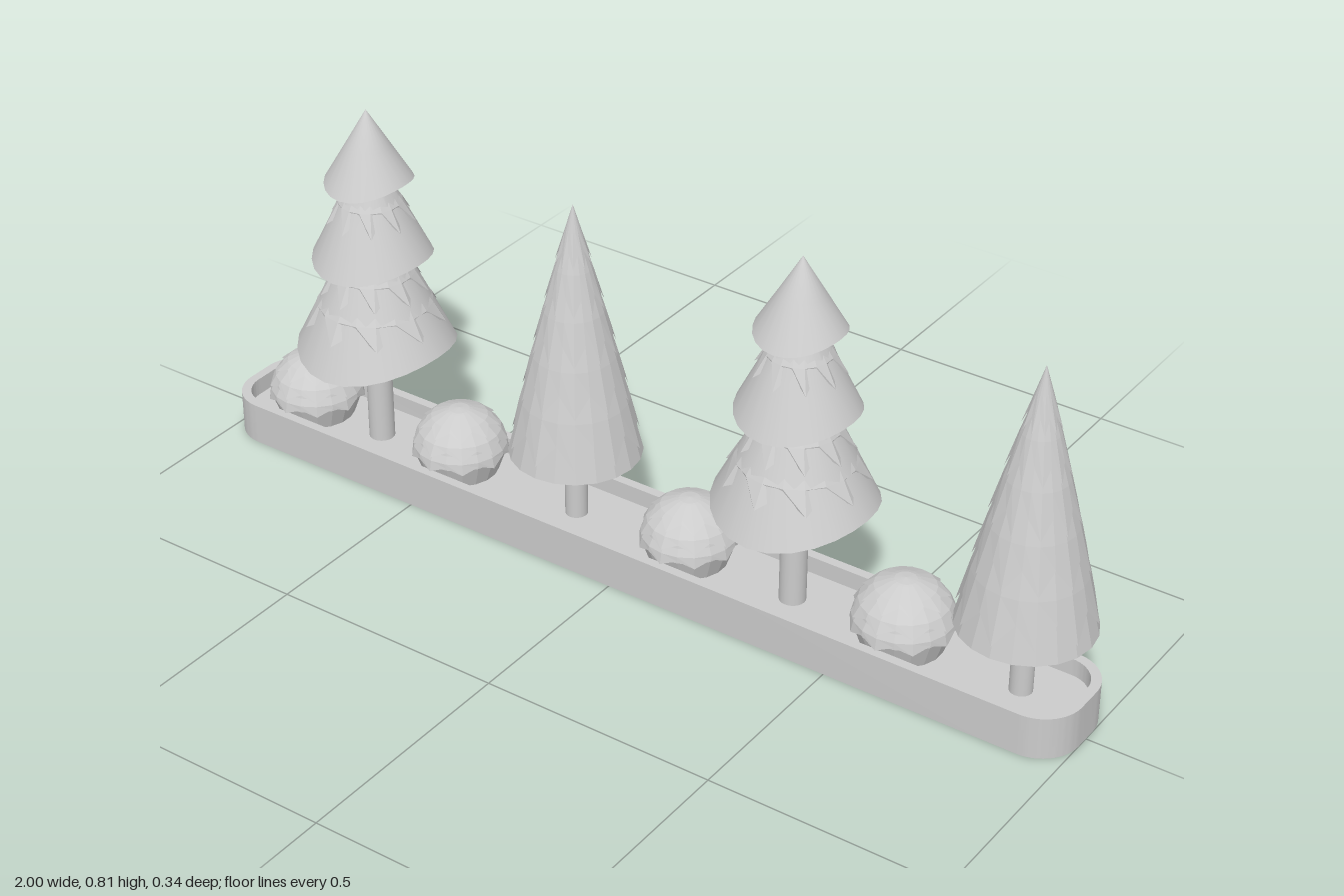
import * as THREE from 'three';
import { toCreasedNormals } from 'three/addons/utils/BufferGeometryUtils.js';

const smooth = new THREE.MeshStandardMaterial({ color: 0xcccccc, side: THREE.DoubleSide });
const faceted = new THREE.MeshStandardMaterial({ color: 0xcccccc, side: THREE.DoubleSide, flatShading: true });

function add(parent, name, geometry, material = smooth) {
  const mesh = new THREE.Mesh(geometry, material);
  mesh.name = name;
  parent.add(mesh);
  return mesh;
}

// Rounded rectangle outline centred on the origin
function roundedRect(w, d, r, Type) {
  const s = new Type(), x = w / 2, y = d / 2;
  s.moveTo(-x + r, -y);
  s.lineTo(x - r, -y);
  s.absarc(x - r, -y + r, r, -Math.PI / 2, 0);
  s.lineTo(x, y - r);
  s.absarc(x - r, y - r, r, 0, Math.PI / 2);
  s.lineTo(-x + r, y);
  s.absarc(-x + r, y - r, r, Math.PI / 2, Math.PI);
  s.lineTo(-x, -y + r);
  s.absarc(-x + r, -y + r, r, Math.PI, Math.PI * 1.5);
  return s;
}

function slab(shape, y, height) {
  const g = new THREE.ExtrudeGeometry(shape, { depth: height, bevelEnabled: false, curveSegments: 10 });
  g.rotateX(-Math.PI / 2).translate(0, y, 0);
  return toCreasedNormals(g, 0.6);
}

// Turned surface whose points (bottom first) are moved by rule(r, y, angle, segment, row) -> [r, y]
function turned(profile, segments, rule) {
  const g = new THREE.LatheGeometry(profile.map(([r, y]) => new THREE.Vector2(r, y)), segments);
  const p = g.attributes.position;
  for (let i = 0; i < p.count; i++) {
    const row = i % profile.length, seg = Math.floor(i / profile.length) % segments;
    const a = (seg / segments) * Math.PI * 2;
    const [r, y] = rule(profile[row][0], profile[row][1], a, seg, row);
    p.setXYZ(i, r * Math.sin(a), y, r * Math.cos(a));
  }
  return g;
}

// Foliage layer on the curve radius(y), with a zigzag hem
function zigzagSkirt(radius, hem, top, teeth, depth, lift, gap = lift * 0.3) {
  const rows = [0, 0.5, 1].map((t) => [0, hem + (top - hem) * t]);
  return turned(rows, teeth * 2, (r, y, a, seg, row) => {
    if (row > 0) return [Math.max(0, radius(y) + (row === 1 ? lift * 0.3 : -0.003)), y];
    const tip = seg % 2 === 0;
    const yy = y + (tip ? -depth / 2 : depth / 2);
    return [radius(yy) + (tip ? lift : gap), yy];
  });
}

function trunk(parent, radius, top) {
  add(parent, 'trunk', new THREE.CylinderGeometry(radius, radius, top - 0.03, 20).translate(0, (top + 0.03) / 2, 0));
}

// Tree of three drooping tiers
function tieredTree() {
  const tree = new THREE.Group();
  trunk(tree, 0.027, 0.32);
  const tiers = [
    [0.165, 0.28, 0.055, 0.51, 0.016],
    [0.124, 0.485, 0.03, 0.68, 0.011],
    [0.091, 0.655, 0, 0.81, 0.009],
  ];
  tiers.forEach(([r0, y0, r1, y1, wave]) => {
    const profile = [[0, y0 + 0.02], [r0, y0], [(r0 + r1) * 0.5, (y0 + y1) * 0.5], [r1, y1]];
    if (r1 > 0) profile.push([0, y1]);
    const g = turned(profile, 24, (r, y, a, seg, row) =>
      (row === 1 ? [r + 0.004 * Math.cos(a * 2), y - wave * Math.cos(a * 2)] : [r, y]));
    add(tree, 'foliageTier', toCreasedNormals(g, 0.9));
  });
  // Small leaf tips breaking through the lower two tiers
  [[0, 0.35], [0, 0.42], [1, 0.58]].forEach(([k, y]) => {
    const [r0, y0, r1, y1] = tiers[k];
    const radius = (v) => r0 + (r1 - r0) * (v - y0) / (y1 - y0);
    add(tree, 'leafTips', zigzagSkirt(radius, y, y + 0.06, 9, 0.03, 0.006, -0.008), faceted);
  });
  return tree;
}

// Slender conical tree of overlapping zigzag layers
function conicalTree() {
  const tree = new THREE.Group();
  trunk(tree, 0.023, 0.23);
  const base = 0.205, apex = 0.755;
  const radius = (y) => {
    const t = Math.max(0, (apex - y) / (apex - base));
    return 0.135 * t + 0.018 * t * (1 - t);
  };
  const core = [[0, base], [radius(base), base]];
  for (const y of [0.3, 0.4, 0.5, 0.6, apex]) core.push([Math.max(0, radius(y) - 0.003), y]);
  add(tree, 'foliageCore', new THREE.LatheGeometry(core.map(([r, y]) => new THREE.Vector2(r, y)), 20), faceted);
  const hems = [0.255, 0.36, 0.46, 0.555, 0.645, apex];
  for (let i = 0; i < 5; i++) {
    const top = i === 4 ? apex : hems[i + 1] + 0.04;
    add(tree, 'foliageLayer', zigzagSkirt(radius, hems[i], top, 10, 0.05 - i * 0.005, 0.004), faceted);
  }
  return tree;
}

// Domed bush of overlapping zigzag layers
function bush() {
  const group = new THREE.Group();
  const radius = (y) => 0.097 * Math.sqrt(Math.max(0, 1 - ((y - 0.1) / 0.097) ** 2));
  const core = [[0, 0.035], [radius(0.035), 0.035]];
  for (let i = 0; i <= 7; i++) {
    const a = (i / 7) * Math.PI / 2;
    core.push([0.095 * Math.cos(a), 0.1 + 0.095 * Math.sin(a)]);
  }
  add(group, 'bushCore', new THREE.LatheGeometry(core.map(([r, y]) => new THREE.Vector2(Math.max(0, r), y)), 18), faceted);
  const hems = [0.1, 0.132, 0.165, 0.192];
  for (let i = 0; i < 3; i++) {
    add(group, 'bushLayer', zigzagSkirt(radius, hems[i], hems[i + 1], 9, 0.014, 0.005), faceted);
  }
  return group;
}

export function createModel() {
  const model = new THREE.Group();

  // Open planter frame with a soil plate set inside it
  const frame = roundedRect(2, 0.225, 0.085, THREE.Shape);
  frame.holes.push(roundedRect(1.96, 0.185, 0.065, THREE.Path));
  add(model, 'planterFrame', slab(frame, 0, 0.09));
  add(model, 'soil', slab(roundedRect(1.965, 0.19, 0.067, THREE.Shape), 0.045, 0.008));

  const place = (make, name, positions) => positions.forEach((x, i) => {
    const item = make();
    item.name = name;
    item.position.x = x;
    item.rotation.y = name === 'bush' ? i * 0.7 : 0;
    model.add(item);
  });
  place(tieredTree, 'tieredTree', [-0.665, 0.357]);
  place(conicalTree, 'conicalTree', [-0.16, 0.86]);
  place(bush, 'bush', [-0.84, -0.455, 0.115, 0.605]);
  model.children[model.children.length - 1].scale.setScalar(1.04);
  return model;
}
